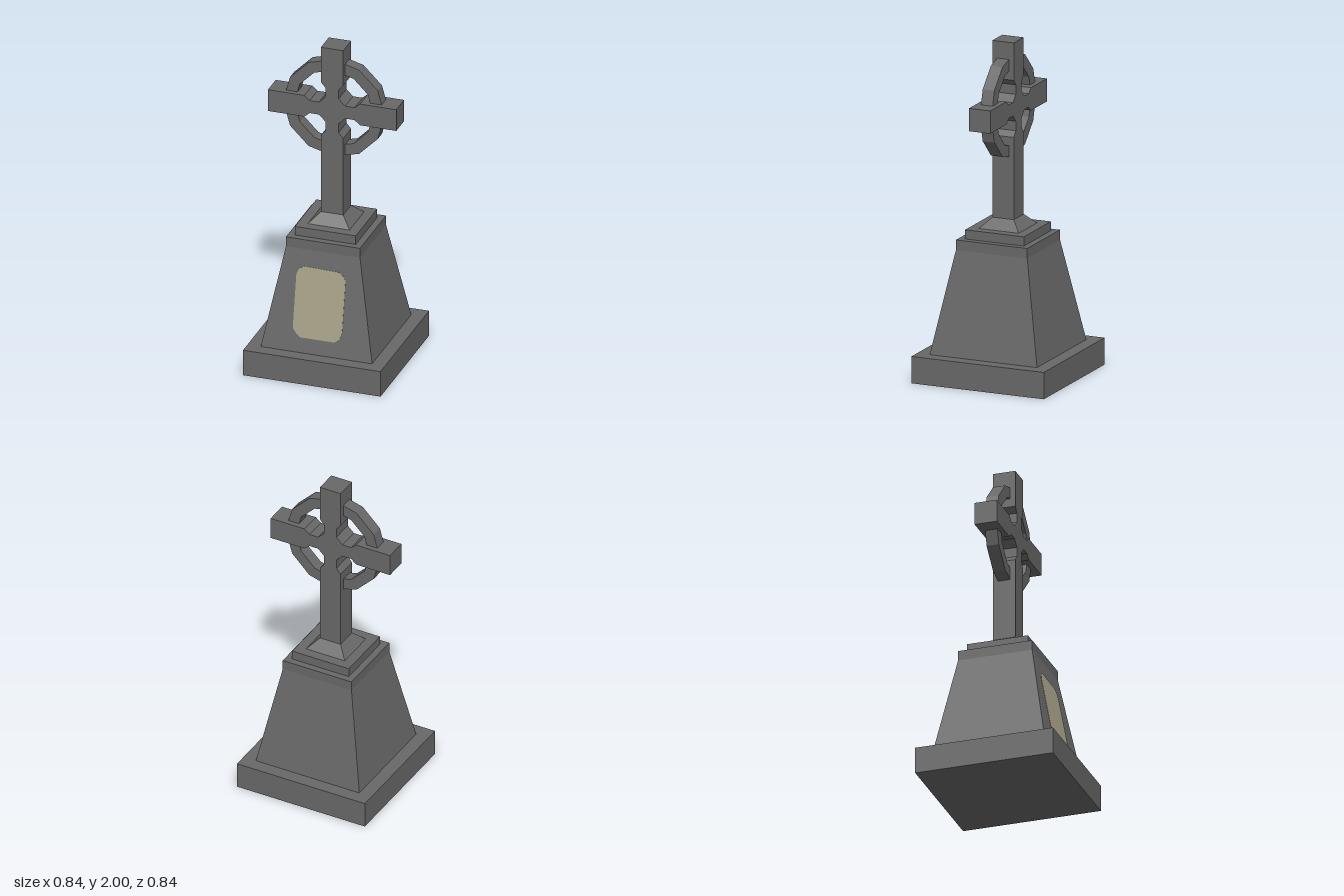
import * as THREE from 'three';

const stone = new THREE.MeshStandardMaterial({ color: 0x686868, flatShading: true });
stone.name = 'grey stone';
const brass = new THREE.MeshStandardMaterial({ color: 0xa59f86, flatShading: true });
brass.name = 'pale plaque';

const SHAFT = 0.068;      // half width of the cross bars
const CENTRE_Y = 1.606;   // crossing point of the bars

function addMesh(parent, name, geometry, material) {
  const mesh = new THREE.Mesh(geometry, material);
  mesh.name = name;
  parent.add(mesh);
  return mesh;
}

// Square block, optionally tapered, given by half widths and heights
function squareBlock(bottomHalf, topHalf, y0, y1) {
  return new THREE.CylinderGeometry(topHalf * Math.SQRT2, bottomHalf * Math.SQRT2, y1 - y0, 4)
    .rotateY(Math.PI / 4)
    .translate(0, (y0 + y1) / 2, 0);
}

// Flat outline extruded to a depth centred on z = 0
function slab(points, halfDepth) {
  const shape = new THREE.Shape(points.map(([x, y]) => new THREE.Vector2(x, y)));
  return new THREE.ExtrudeGeometry(shape, { depth: 2 * halfDepth, bevelEnabled: false })
    .translate(0, 0, -halfDepth);
}

export function createModel() {
  const model = new THREE.Group();
  model.name = 'stoneCrossMonument';

  // Stepped pedestal: name, bottom half width, top half width, bottom y, top y
  const steps = [
    ['basePlinth', 0.42, 0.42, 0, 0.16],
    ['taperedPedestal', 0.34, 0.226, 0.16, 0.77],
    ['pedestalBand', 0.226, 0.226, 0.77, 0.83],
    ['upperStep', 0.186, 0.186, 0.83, 0.885],
    ['crossFoot', 0.127, SHAFT, 0.885, 0.945],
  ];
  for (const [name, ...size] of steps) addMesh(model, name, squareBlock(...size), stone);

  // Cross outline: each corner between two bars has the same rounded notch
  const notch = [[0.17, SHAFT], [0.137, 0.04], [0.08, 0.04], [0.04, 0.08], [0.04, 0.137], [SHAFT, 0.17]];
  const armEnds = [2 - CENTRE_Y, 0.392, CENTRE_Y - 0.945, 0.392]; // top, left, bottom, right
  const outline = [];
  for (let q = 0; q < 4; q++) {
    const c = [1, 0, -1, 0][q], s = [0, 1, 0, -1][q];
    const end = armEnds[q];
    for (const [x, y] of [...notch, [SHAFT, end], [-SHAFT, end]]) {
      outline.push([x * c - y * s, x * s + y * c]);
    }
  }
  const cross = addMesh(model, 'cross', slab(outline, SHAFT), stone);
  cross.position.y = CENTRE_Y;

  // Faceted ring, one segment between each pair of bars
  const ring = new THREE.Group();
  ring.name = 'ring';
  ring.position.y = CENTRE_Y;
  const segment = slab([
    [0.294, 0.06], [0.268, 0.155], [0.155, 0.268], [0.06, 0.294],
    [0.06, 0.224], [0.12, 0.208], [0.208, 0.12], [0.224, 0.06],
  ], 0.037);
  for (let q = 0; q < 4; q++) {
    addMesh(ring, 'ringSegment', segment, stone).rotation.z = q * Math.PI / 2;
  }
  model.add(ring);

  // Plaque lying on the sloping front face
  const slope = Math.atan2(0.34 - 0.226, 0.77 - 0.16);
  const plaqueOutline = [
    [-0.105, 0.25], [0.105, 0.25], [0.135, 0.275], [0.147, 0.31], [0.148, 0.62], [0.135, 0.645],
    [0.105, 0.665], [-0.105, 0.67], [-0.138, 0.65], [-0.152, 0.62], [-0.153, 0.3], [-0.13, 0.27],
  ].map(([x, y]) => [x, (y - 0.16) / Math.cos(slope)]);
  const plaque = addMesh(model, 'plaque', slab(plaqueOutline, 0.002), brass);
  plaque.position.set(0, 0.16, 0.34);
  plaque.rotation.x = -slope;

  return model;
}
